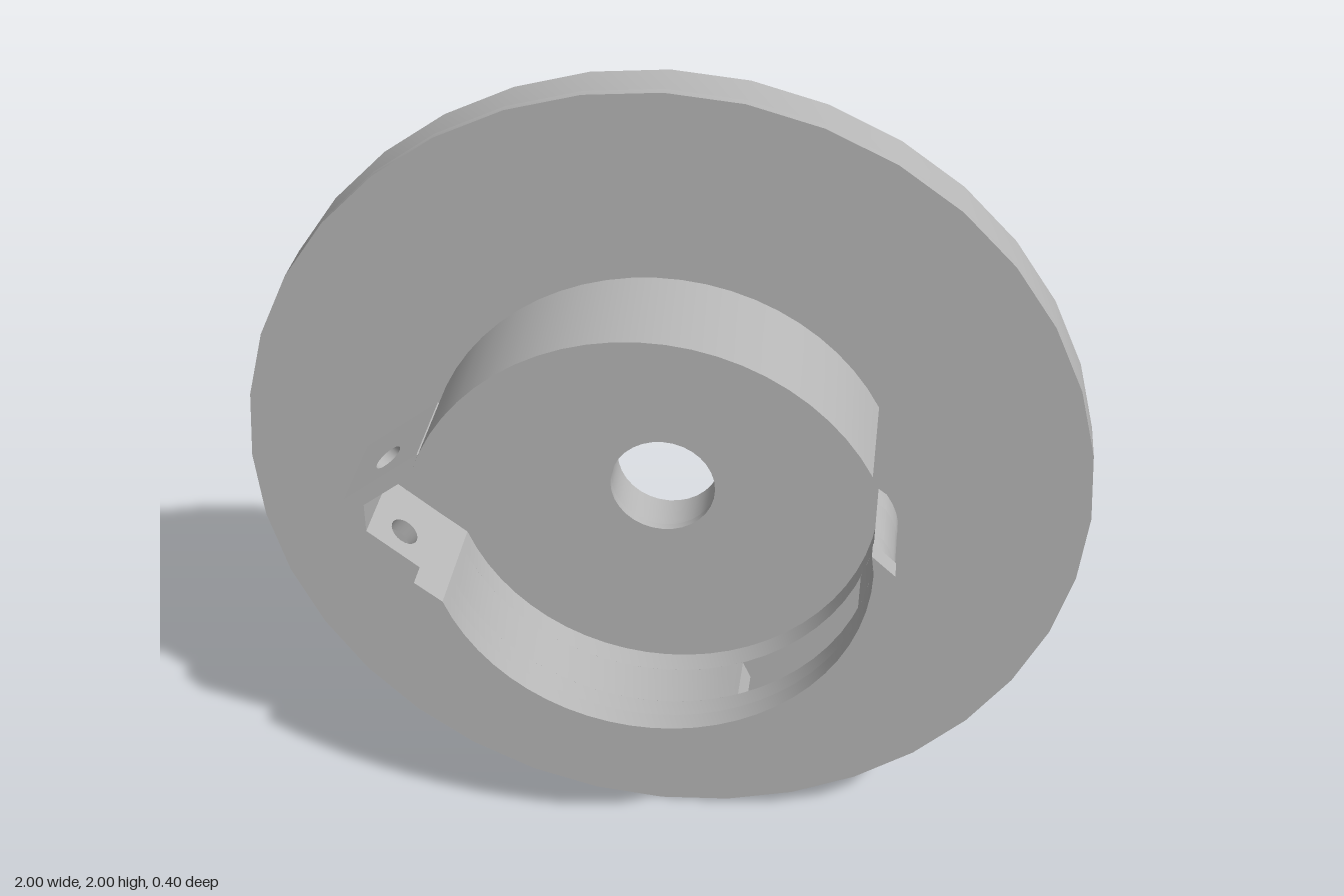
import * as THREE from 'three';
import { toCreasedNormals } from 'three/addons/utils/BufferGeometryUtils.js';

const RAD = Math.PI / 180;
const RO = 0.56, RI = 0.512;

// Points on an arc about the origin, angles in degrees
function arc(r, a0, a1, n = Math.max(2, Math.ceil(Math.abs(a1 - a0) / 6))) {
  return Array.from({ length: n + 1 }, (_, i) => {
    const a = (a0 + (a1 - a0) * i / n) * RAD;
    return new THREE.Vector2(Math.cos(a) * r, Math.sin(a) * r);
  });
}

function hole(r, x = 0, y = 0, n = 32) {
  return new THREE.Path(arc(r, 0, 360 - 360 / n, n - 1).map(p => p.add(new THREE.Vector2(x, y))));
}

// Flat outline extruded between two z levels
function slab(points, z0, z1, holes = []) {
  const shape = new THREE.Shape(points);
  shape.holes.push(...holes);
  const g = new THREE.ExtrudeGeometry(shape, { depth: z1 - z0, bevelEnabled: false });
  g.translate(0, 0, z0);
  return toCreasedNormals(g, 0.45);
}

export function createModel() {
  const model = new THREE.Group();
  model.name = 'discWithClip';
  const body = new THREE.Group();
  body.name = 'body';
  body.position.y = 1;
  model.add(body);

  const grey = new THREE.MeshStandardMaterial({ color: 0xb8b8b8 });
  grey.name = 'plain grey';
  const add = (name, geometry, parent = body) => {
    const m = new THREE.Mesh(geometry, grey);
    m.name = name;
    parent.add(m);
    return m;
  };

  // Base disc: through hole in the middle, blind pocket open to the back
  const rim = arc(1, 0, 350, 35);
  add('discBack', slab(rim, -0.2, -0.1, [hole(0.125), hole(0.15, 0, 0.53)]));
  add('discFront', slab(rim, -0.1, -0.08, [hole(0.125)]));

  // Upper arm of the split ring, cut on a slant where it meets the bracket
  add('upperArm', slab([...arc(RO, 28, 166.5), ...arc(RI, 159.5, 28)], -0.08, 0.2));

  // Lower arm in layers: side window in the middle, hooked tip at the front
  const v = (x, y) => new THREE.Vector2(x, y);
  const roundedEnd = [v(0.552, -0.025), v(0.542, 0), v(0.527, 0.025), v(0.507, 0.04)];
  const tip = [v(0.505, 0.05)];
  const lower = (outer0, inner0, a1, end, innerEnd = a1) =>
    [...arc(RO, outer0, a1), ...end, ...arc(RI, innerEnd, inner0)];
  add('lowerArmBack', slab(lower(-166.5, -159.5, -5, roundedEnd, 0), -0.08, -0.02));
  add('lowerArmBelowWindow', slab(lower(-166.5, -159.5, -66, []), -0.02, 0.1));
  add('lowerArmAboveWindow', slab(lower(-20, -20, -5, roundedEnd, 0), -0.02, 0.1));
  add('lowerArmFront', slab(lower(-166.5, -159.5, -5, roundedEnd, 0), 0.1, 0.15));
  add('lowerArmTip', slab(lower(-166.5, -159.5, 0, tip, 0), 0.15, 0.2));

  // Pointed side bracket: two drilled sloping walls and an end wall
  const p = new THREE.Vector3(-0.53, 0.19, 0), q = new THREE.Vector3(-0.71, 0.05, 0);
  const along = q.clone().sub(p);
  const len = along.length(), thick = 0.038;
  along.normalize();
  const up = new THREE.Vector3(0, 0, 1);
  const out = new THREE.Vector3().crossVectors(along, up);
  const origin = p.clone().addScaledVector(out, -thick);
  const wall = slab([v(0, -0.08), v(len, -0.08), v(len, 0.14), v(0, 0.14)], 0, thick,
    [hole(0.036, len / 2, 0.06, 20)]);
  wall.applyMatrix4(new THREE.Matrix4().makeBasis(along, up, out).setPosition(origin));
  for (const s of [1, -1]) {
    add(s > 0 ? 'upperBracketWall' : 'lowerBracketWall', wall).scale.y = s;
  }
  add('bracketEnd', slab([v(-0.71, -0.05), v(-0.665, -0.037), v(-0.665, 0.037), v(-0.71, 0.05)], -0.08, 0.14));

  return model;
}
